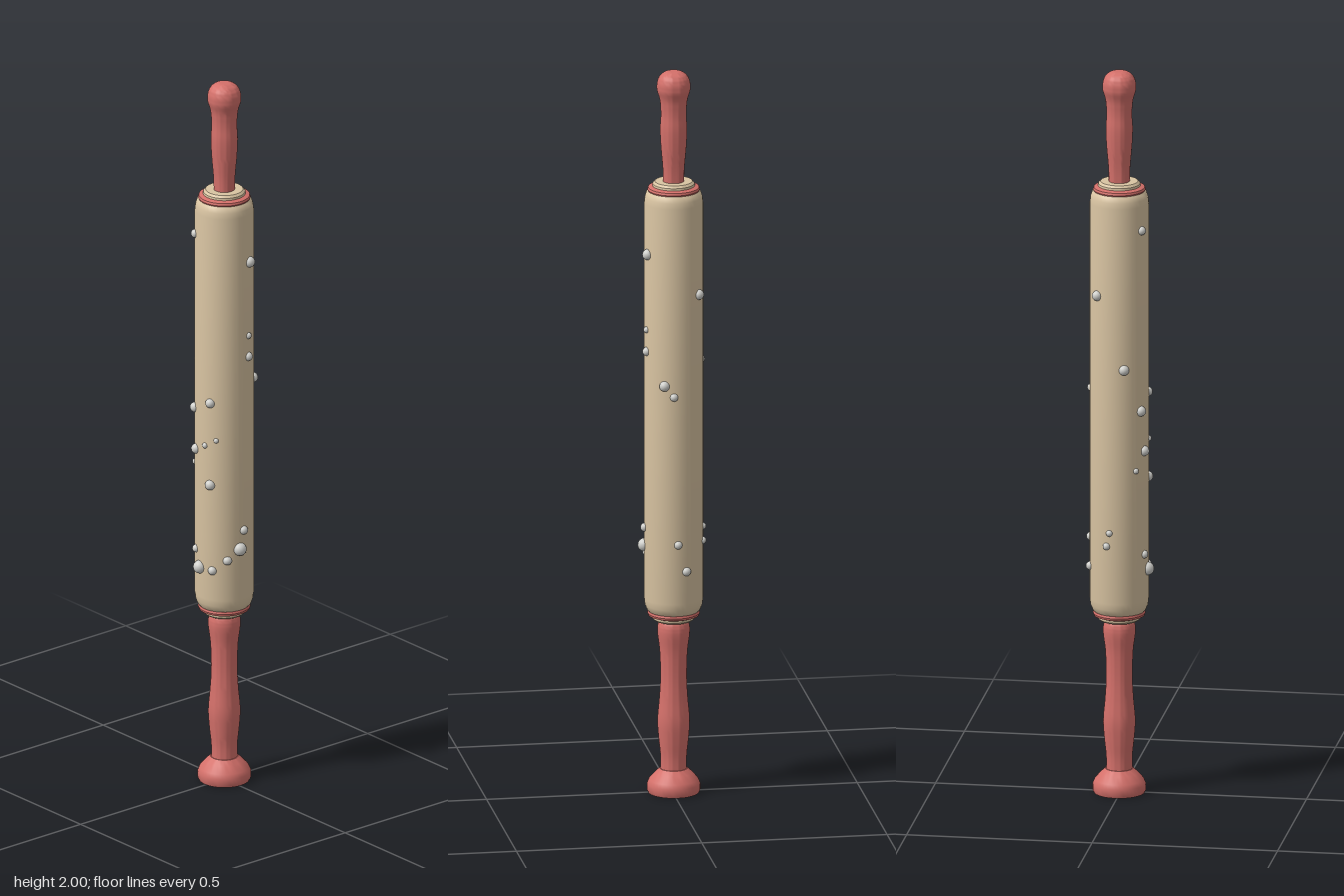
import * as THREE from 'three';
import { toCreasedNormals } from 'three/addons/utils/BufferGeometryUtils.js';

const material = (name, color) => {
  const m = new THREE.MeshStandardMaterial({ color });
  m.name = name;
  return m;
};

export function createModel() {
  const wood = material('pale wood', 0xd9c4a2);
  const red = material('red paint', 0xd4706a);
  const grey = material('light grey', 0xd0d0cc);
  const group = new THREE.Group();
  group.name = 'rollingPin';

  const pin = new THREE.Group();
  pin.name = 'pin';
  pin.position.set(-0.004, 0, -0.004);
  group.add(pin);

  // Turned part from [radius, height] pairs, listed bottom to top
  const turned = (name, mat, pairs, smooth = false) => {
    let points = pairs.map(([r, y]) => new THREE.Vector2(r, y));
    if (smooth) points = new THREE.SplineCurve(points).getPoints(pairs.length * 4);
    points.forEach((p) => { p.x = Math.max(p.x, 0); });
    const geometry = toCreasedNormals(new THREE.LatheGeometry(points, 40), 0.6);
    const mesh = new THREE.Mesh(geometry, mat);
    mesh.name = name;
    pin.add(mesh);
  };

  // Roller with rounded shoulders
  turned('roller', wood, [
    [0, 0.502], [0.066, 0.502], [0.072, 0.509], [0.077, 0.522], [0.079, 0.54],
    [0.079, 1.636], [0.077, 1.652], [0.073, 1.664], [0.068, 1.669], [0, 1.669],
  ]);

  // Painted band and wooden cap at each end of the roller
  turned('upperBand', red, [[0, 1.667], [0.068, 1.667], [0.07, 1.672], [0.068, 1.678], [0.057, 1.682], [0, 1.682]]);
  turned('upperCap', wood, [[0, 1.68], [0.057, 1.68], [0.056, 1.688], [0.05, 1.694], [0, 1.694]]);
  turned('lowerBand', red, [[0, 0.488], [0.057, 0.488], [0.068, 0.492], [0.07, 0.498], [0.068, 0.504], [0, 0.504]]);
  turned('lowerCap', wood, [[0, 0.477], [0.05, 0.477], [0.056, 0.482], [0.057, 0.49], [0, 0.49]]);

  // Upper handle with a domed end
  turned('upperHandle', red, [
    [0.028, 1.685], [0.029, 1.73], [0.034, 1.79], [0.036, 1.84], [0.034, 1.88],
    [0.037, 1.92], [0.045, 1.95], [0.041, 1.978], [0.025, 1.995], [0, 2],
  ], true);

  // Lower handle and its flared foot
  turned('lowerHandle', red, [
    [0.035, 0.06], [0.035, 0.1], [0.04, 0.15], [0.043, 0.2], [0.038, 0.26],
    [0.035, 0.32], [0.037, 0.39], [0.043, 0.44], [0.042, 0.465], [0.034, 0.482],
  ], true);
  turned('foot', red, [
    [0, 0], [0.068, 0], [0.071, 0.006], [0.071, 0.024], [0.066, 0.036],
    [0.05, 0.054], [0.037, 0.066], [0, 0.066],
  ]);

  // Small beads around the roller: degrees from the front towards +x, height, radius
  const beads = [
    [-32, 1.57, 0.012], [-34, 1.07, 0.014], [21, 1.105, 0.013], [-23, 0.957, 0.014],
    [9, 0.98, 0.008], [34, 1.0, 0.007], [-47, 0.907, 0.008], [21, 0.87, 0.014],
    [-23, 0.67, 0.011], [-7, 0.625, 0.018], [26, 0.625, 0.012], [56, 0.656, 0.012],
    [82, 0.685, 0.018], [91, 0.737, 0.012], [109, 1.5, 0.015], [105, 1.29, 0.009],
    [105, 1.23, 0.012], [153, 1.145, 0.014], [172, 1.115, 0.011], [180, 0.705, 0.011],
    [197, 0.63, 0.012], [230, 1.39, 0.014], [-72, 1.19, 0.014], [-101, 0.737, 0.009],
    [-107, 0.7, 0.01],
  ];
  const sphere = new THREE.SphereGeometry(1, 16, 12);
  const beadGroup = new THREE.Group();
  beadGroup.name = 'beads';
  for (const [degrees, y, radius] of beads) {
    const a = THREE.MathUtils.degToRad(degrees);
    const bead = new THREE.Mesh(sphere, grey);
    bead.name = 'bead';
    bead.position.set(0.078 * Math.sin(a), y, 0.078 * Math.cos(a));
    bead.scale.setScalar(radius);
    beadGroup.add(bead);
  }
  pin.add(beadGroup);
  return group;
}
